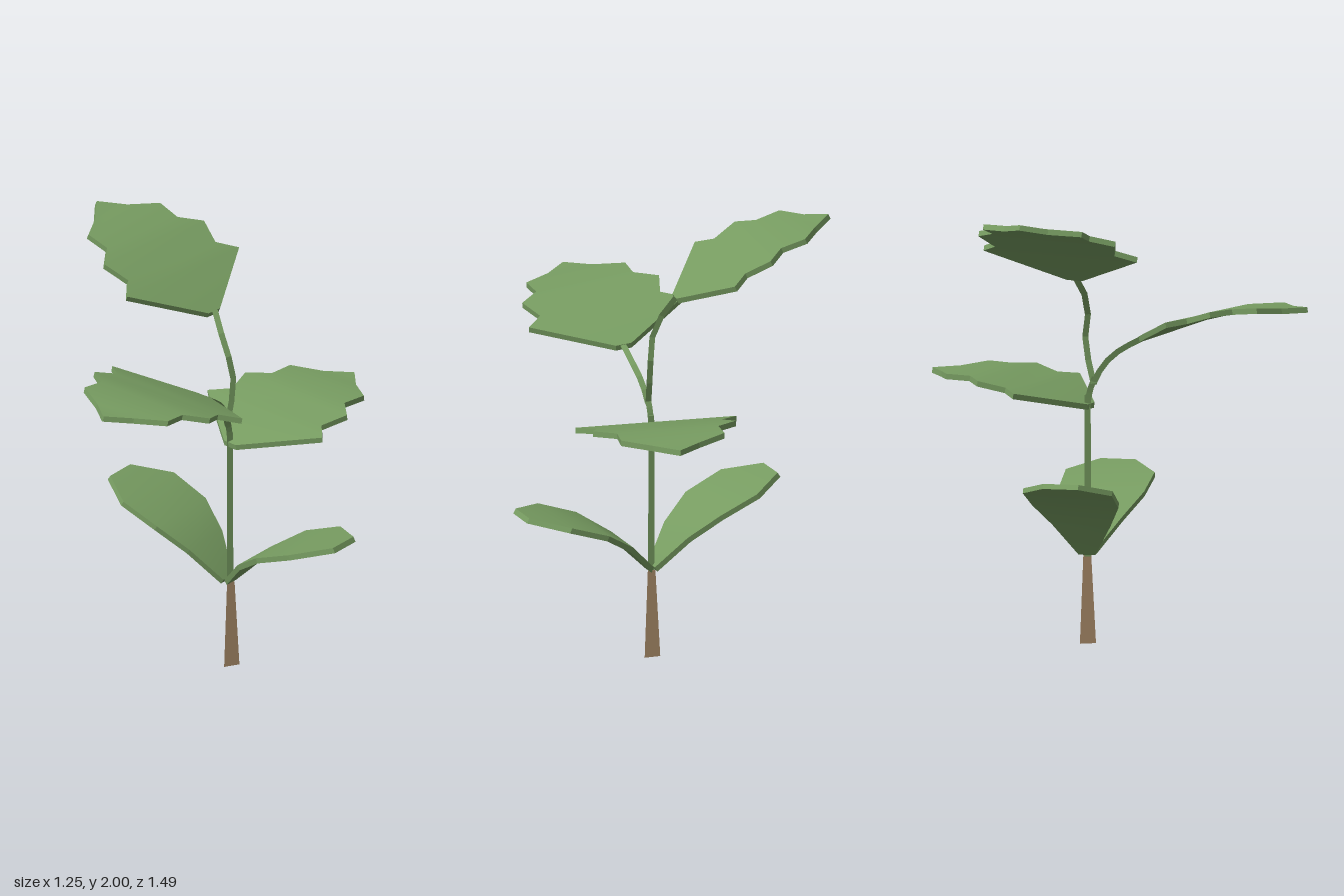
import * as THREE from 'three';

const green = new THREE.MeshStandardMaterial({ color: 0x779c61 });
green.name = 'leaf green';
const brown = new THREE.MeshStandardMaterial({ color: 0xa98b69 });
brown.name = 'bark brown';

const V = (a) => new THREE.Vector3(...a);

// Leaf rows from base to tip: [distance along leaf, half width, lift]
const LOBED = [
  [0, 0.037, 0], [0.226, 0.366, 0.044], [0.302, 0.285, 0.045], [0.423, 0.325, 0.055],
  [0.501, 0.23, 0.05], [0.615, 0.235, 0.036], [0.692, 0.104, 0.014], [0.781, 0.002, 0],
];
const SEED = [
  [0.0, 0.038, 0], [0.182, 0.132, 0.059], [0.35, 0.196, 0.074], [0.54, 0.203, 0.045], [0.693, 0.08, 0],
];

// Curved slab: smooth top and underside, flat walls round the outline
function leafGeometry(rows, thickness = 0.025) {
  const pos = [], index = [];
  const n = rows.length;
  for (const drop of [0, thickness]) {
    for (const [t, w, lift] of rows) pos.push(-w, lift - drop, -t, w, lift - drop, -t);
  }
  for (let i = 0; i < n - 1; i++) {
    const a = 2 * i, b = a + 2 * n;
    index.push(a, a + 1, a + 3, a, a + 3, a + 2);
    index.push(b, b + 3, b + 1, b, b + 2, b + 3);
  }
  // outline: up the right side, back down the left
  const ring = [];
  for (let i = 0; i < n; i++) ring.push(2 * i + 1);
  for (let i = n - 1; i >= 0; i--) ring.push(2 * i);
  ring.forEach((p, k) => {
    const q = ring[(k + 1) % ring.length];
    const s = pos.length / 3;
    for (const v of [p + 2 * n, q + 2 * n, q, p]) pos.push(pos[3 * v], pos[3 * v + 1], pos[3 * v + 2]);
    index.push(s, s + 1, s + 2, s, s + 2, s + 3);
  });
  const g = new THREE.BufferGeometry();
  g.setAttribute('position', new THREE.Float32BufferAttribute(pos, 3));
  g.setIndex(index);
  g.computeVertexNormals();
  return g;
}

// Points a leaf from base to tip; tilt raises its right-hand edge
function addLeaf(group, name, geometry, base, tip, tilt = 0) {
  const d = V(tip).sub(V(base)).normalize();
  const side = new THREE.Vector3(-d.z, tilt, d.x).normalize();
  const normal = side.clone().cross(d).normalize();
  side.copy(d).cross(normal);
  const mesh = new THREE.Mesh(geometry, green);
  mesh.name = name;
  mesh.quaternion.setFromRotationMatrix(new THREE.Matrix4().makeBasis(side, normal, d.clone().negate()));
  mesh.position.set(...base);
  group.add(mesh);
}

function faceted(geometry) {
  const g = geometry.toNonIndexed();
  g.computeVertexNormals();
  return g;
}

// Three-sided tapered post with one corner towards +x
function addPost(group, name, material, rTop, rBottom, y0, y1, x, z) {
  const g = new THREE.CylinderGeometry(rTop, rBottom, y1 - y0, 3).rotateY(Math.PI / 2);
  const mesh = new THREE.Mesh(faceted(g), material);
  mesh.name = name;
  mesh.position.set(x, (y0 + y1) / 2, z);
  group.add(mesh);
}

// Thin three-sided stalk along a bent path
function addStalk(group, name, points) {
  const curve = new THREE.CatmullRomCurve3(points.map(V));
  const mesh = new THREE.Mesh(faceted(new THREE.TubeGeometry(curve, 5, 0.016, 3)), green);
  mesh.name = name;
  group.add(mesh);
}

export function createModel() {
  const plant = new THREE.Group();
  plant.name = 'seedling';

  // Trunk and main stem
  addPost(plant, 'trunk', brown, 0.021, 0.043, 0, 0.4, 0.032, -0.152);
  addPost(plant, 'stem', green, 0.016, 0.018, 0.39, 1.12, 0.03, -0.15);
  addStalk(plant, 'stemTop', [[0.03, 1.08, -0.15], [0.027, 1.14, -0.14], [0.02, 1.2, -0.12]]);

  // Stalks of the two upper leaves
  addStalk(plant, 'topStalk', [
    [0.02, 1.17, -0.125], [0.045, 1.36, -0.157], [0.025, 1.48, -0.15], [-0.01, 1.58, -0.175], [-0.045, 1.67, -0.23],
  ]);
  addStalk(plant, 'frontStalk', [
    [0.022, 1.17, -0.125], [0.012, 1.25, -0.085], [-0.01, 1.32, -0.015], [-0.056, 1.378, 0.078],
  ]);

  // Lobed leaves
  const lobed = leafGeometry(LOBED);
  addLeaf(plant, 'topLeaf', lobed, [-0.045, 1.672, -0.225], [-0.61, 1.998, -0.64], 0.02);
  addLeaf(plant, 'frontLeaf', lobed, [-0.056, 1.387, 0.074], [-0.436, 1.545, 0.728], 0.095);
  addLeaf(plant, 'backLeaf', lobed, [0.034, 1.078, -0.13], [0.533, 1.193, -0.73], -0.015);

  // Opposite pair of smooth seed leaves
  const seed = leafGeometry(SEED);
  addLeaf(plant, 'leftSeedLeaf', seed, [0.03, 0.42, -0.15], [0.57, 0.735, 0.145]);
  addLeaf(plant, 'rightSeedLeaf', seed, [0.025, 0.42, -0.15], [-0.4825, 0.8, -0.415]);

  return plant;
}
